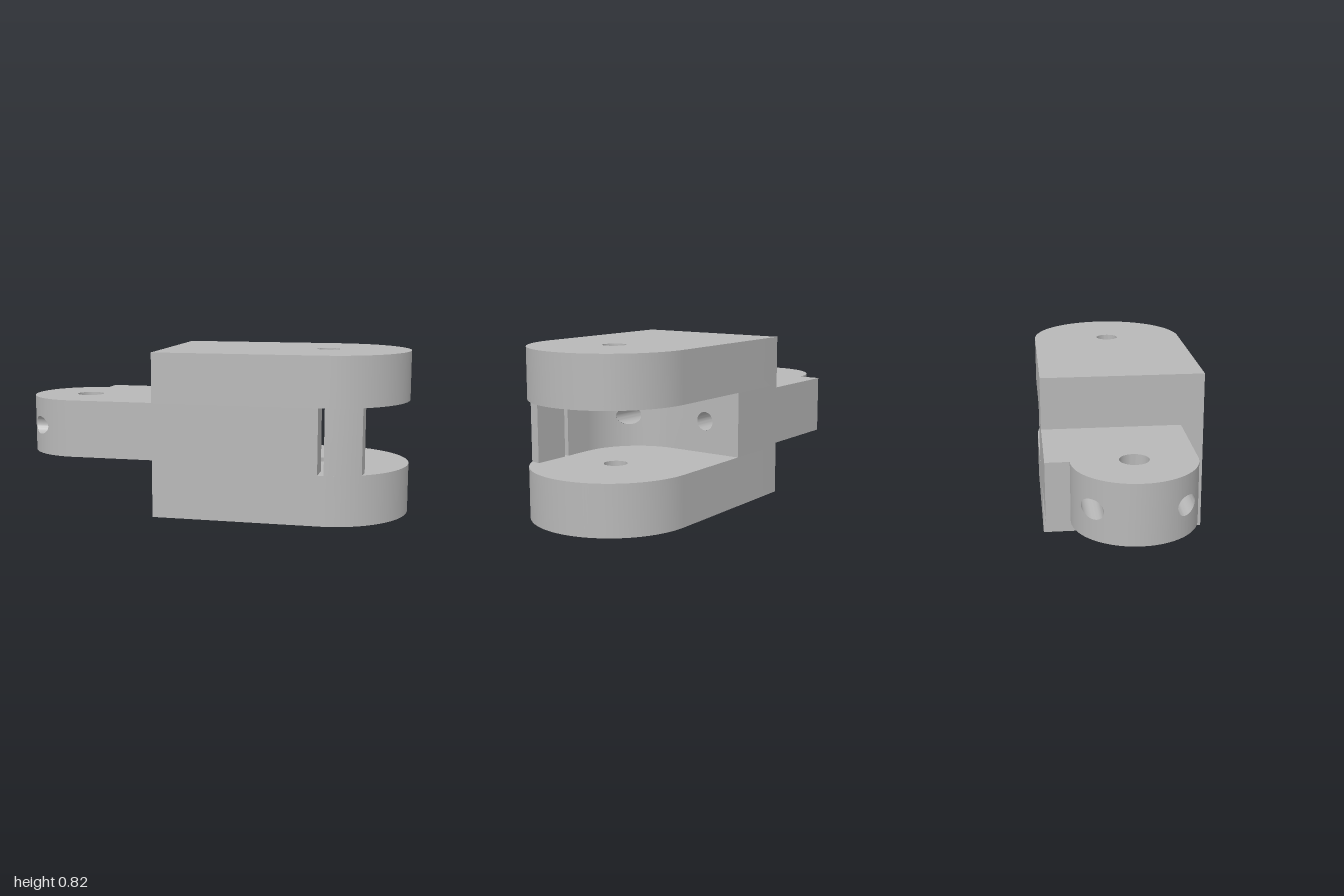
import * as THREE from 'three';
import { toCreasedNormals } from 'three/addons/utils/BufferGeometryUtils.js';

// Main sizes
const HALF = 0.41, BACK = -0.24, HEIGHT = 0.825;
const SLOT_LOW = 0.25, SLOT_HIGH = 0.575;
const END = { x: 0.59, r: HALF };             // rounded fork end
const POCKET = { x: 0.435, r: 0.305 };        // concave end of the slot
const TONGUE = { x: -0.705, r: 0.295, low: 0.265, high: 0.56 };
const BORE = { y: 0.413, r: 0.047, z: [0.21, -0.21] };

const arc = (cx, r, from, to, n) =>
  Array.from({ length: n + 1 }, (_, i) => {
    const a = from + (to - from) * i / n;
    return [cx + r * Math.cos(a), r * Math.sin(a)];
  });

// Half height of a lengthwise bore where it crosses a given z
function boreHalf(z) {
  return Math.max(...BORE.z.map(c => Math.sqrt(Math.max(0, BORE.r ** 2 - (z - c) ** 2))));
}
const boreSamples = BORE.z.flatMap(c =>
  Array.from({ length: 25 }, (_, i) => c + BORE.r * Math.cos(Math.PI * i / 24)));

function fromTriangles(pos) {
  const g = new THREE.BufferGeometry();
  g.setAttribute('position', new THREE.Float32BufferAttribute(pos, 3));
  return toCreasedNormals(g, 0.5);
}

function quad(pos, a, b, c, d) {
  pos.push(...a, ...b, ...c, ...a, ...c, ...d);
}

// Upright wall along a path of [x, z] points, pierced by the bores
function wall(path, low, high) {
  const pos = [];
  for (let i = 0; i + 1 < path.length; i++) {
    const [p, q] = [path[i], path[i + 1]];
    const dz = q[1] - p[1];
    const cuts = Math.abs(dz) < 1e-6 ? [] : boreSamples
      .map(z => (z - p[1]) / dz).filter(t => t > 1e-4 && t < 1 - 1e-4);
    const pts = [0, ...cuts, 1].sort((a, b) => a - b)
      .map(t => [p[0] + (q[0] - p[0]) * t, p[1] + dz * t]);
    for (let k = 0; k + 1 < pts.length; k++) {
      const [[ax, az], [bx, bz]] = [pts[k], pts[k + 1]];
      const ha = boreHalf(az), hb = boreHalf(bz);
      quad(pos, [ax, low, az], [bx, low, bz], [bx, BORE.y - hb, bz], [ax, BORE.y - ha, az]);
      quad(pos, [ax, BORE.y + ha, az], [bx, BORE.y + hb, bz], [bx, high, bz], [ax, high, az]);
    }
  }
  return fromTriangles(pos);
}

// Inside of one lengthwise bore, from the tongue tip to the slot
function boreTube(zc) {
  const pos = [], n = 40;
  const ring = Array.from({ length: n + 1 }, (_, i) => {
    const a = 2 * Math.PI * i / n;
    const y = BORE.y + BORE.r * Math.sin(a), z = zc + BORE.r * Math.cos(a);
    const x0 = TONGUE.x - Math.sqrt(TONGUE.r ** 2 - z * z);
    const x1 = POCKET.x - (z > 0 ? Math.sqrt(POCKET.r ** 2 - z * z) : POCKET.r);
    return [[x0, y, z], [x1, y, z]];
  });
  for (let i = 0; i < n; i++) quad(pos, ring[i][0], ring[i + 1][0], ring[i + 1][1], ring[i][1]);
  return fromTriangles(pos);
}

function circleHole(shape, x, r) {
  shape.holes.push(new THREE.Path().absarc(x, 0, r, 0, Math.PI * 2, true));
  return shape;
}

export function createModel() {
  const model = new THREE.Group();
  model.name = 'forkedLink';
  const grey = new THREE.MeshStandardMaterial({ color: 0xb8b8b8 });
  grey.name = 'grey';
  const add = (name, geometry) => {
    const mesh = new THREE.Mesh(geometry, grey);
    mesh.name = name;
    model.add(mesh);
    return mesh;
  };

  // Two fork plates with a pin hole
  const outline = new THREE.Shape();
  outline.moveTo(BACK, -HALF);
  outline.lineTo(END.x, -HALF);
  outline.absarc(END.x, 0, END.r, -Math.PI / 2, Math.PI / 2, false);
  outline.lineTo(BACK, HALF);
  circleHole(outline, 0.585, 0.058);
  const plate = (name, low, high) => {
    const g = new THREE.ExtrudeGeometry(outline, { depth: high - low, bevelEnabled: false, curveSegments: 40 });
    add(name, toCreasedNormals(g.rotateX(-Math.PI / 2), 0.5)).position.y = low;
  };
  plate('lowerForkPlate', 0, SLOT_LOW);
  plate('upperForkPlate', SLOT_HIGH, HEIGHT);

  // Block between the plates, hollowed by the slot
  add('middleBlock', wall([
    [BACK, HALF], [0.582, HALF], [0.588, POCKET.r],
    ...arc(POCKET.x, POCKET.r, Math.PI / 2, Math.PI, 24),
    [POCKET.x - POCKET.r, -HALF], [BACK, -HALF], [BACK, HALF],
  ], SLOT_LOW, SLOT_HIGH));

  // Curved stop wall on the front of the slot
  const stopArc = arc(END.x, END.r, Math.PI / 2 - 0.056, Math.PI / 2 - 0.51, 10);
  add('stopWall', wall([...stopArc, [0.8, POCKET.r], [0.613, POCKET.r], stopArc[0]], SLOT_LOW, SLOT_HIGH));

  // Tongue with a square shoulder at the back
  const tonguePath = [
    [BACK, -HALF], [TONGUE.x, -HALF],
    ...arc(TONGUE.x, TONGUE.r, -Math.PI / 2, -Math.PI * 1.5, 48),
    [BACK, TONGUE.r],
  ];
  add('tongueSides', wall(tonguePath, TONGUE.low, TONGUE.high));
  const face = (name, side, y) => {
    const shape = new THREE.Shape(tonguePath.map(([x, z]) => new THREE.Vector2(x, -side * z)));
    const g = new THREE.ShapeGeometry(circleHole(shape, TONGUE.x, 0.07), 24);
    add(name, g.rotateX(-side * Math.PI / 2)).position.y = y;
  };
  face('tongueTop', 1, TONGUE.high);
  face('tongueBottom', -1, TONGUE.low);
  add('tonguePinHole', wall(arc(TONGUE.x, 0.07, 0, Math.PI * 2, 48), TONGUE.low, TONGUE.high));

  // Lengthwise bores
  BORE.z.forEach((z, i) => add(i ? 'rearBore' : 'frontBore', boreTube(z)));

  return model;
}
